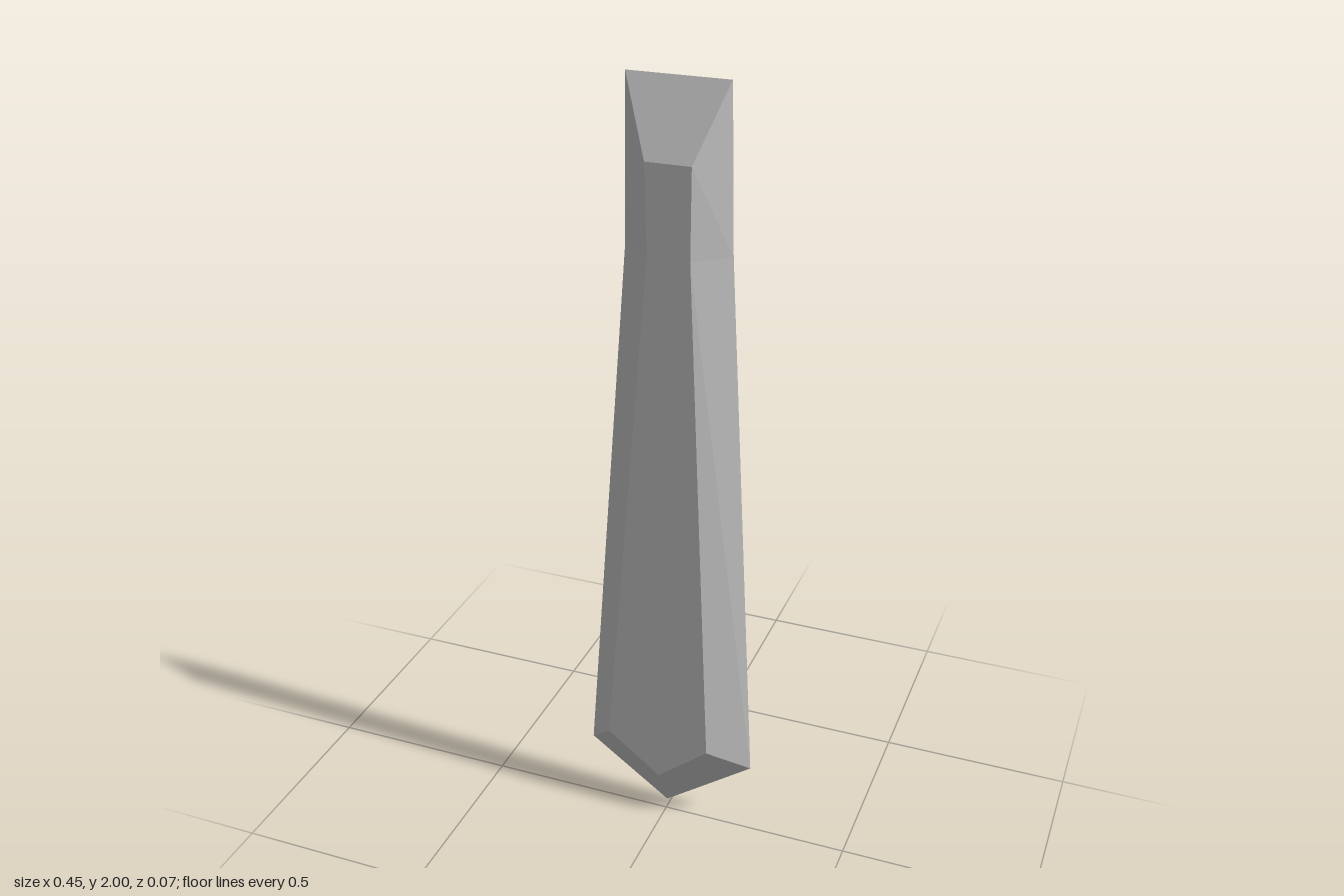
import * as THREE from 'three';

// Matching outlines, counter-clockwise seen from the front
const rim = [[-0.01, 0], [0.227, 0.172], [0.15, 1.6], [0.14, 2], [-0.11, 2], [-0.115, 1.6], [-0.228, 0.158]];
const face = [[-0.01, 0.132], [0.125, 0.242], [0.07, 1.6], [0.072, 1.82], [-0.04, 1.82], [-0.035, 1.6], [-0.152, 0.242]];
const BACK = -0.034, FRONT = 0.033;

function makeMesh(name, geometry) {
  geometry.computeVertexNormals();
  const material = new THREE.MeshStandardMaterial({ color: 0xcccccc, flatShading: true, side: THREE.DoubleSide });
  const mesh = new THREE.Mesh(geometry, material);
  mesh.name = name;
  return mesh;
}

export function createModel() {
  const tie = new THREE.Group();
  tie.name = 'necktie';

  // Flat front panel
  const shape = new THREE.Shape(face.map(([x, y]) => new THREE.Vector2(x, y)));
  const panel = new THREE.ShapeGeometry(shape);
  panel.translate(0, 0, FRONT);
  tie.add(makeMesh('frontPanel', panel));

  // Sloping border from the panel to the rim; the back stays open
  const positions = [];
  rim.forEach((a, i) => {
    const j = (i + 1) % rim.length;
    const a0 = [...a, BACK], b0 = [...rim[j], BACK];
    const a1 = [...face[i], FRONT], b1 = [...face[j], FRONT];
    positions.push(...a0, ...b0, ...b1, ...a0, ...b1, ...a1);
  });
  const border = new THREE.BufferGeometry();
  border.setAttribute('position', new THREE.Float32BufferAttribute(positions, 3));
  tie.add(makeMesh('bevelledBorder', border));

  return tie;
}
